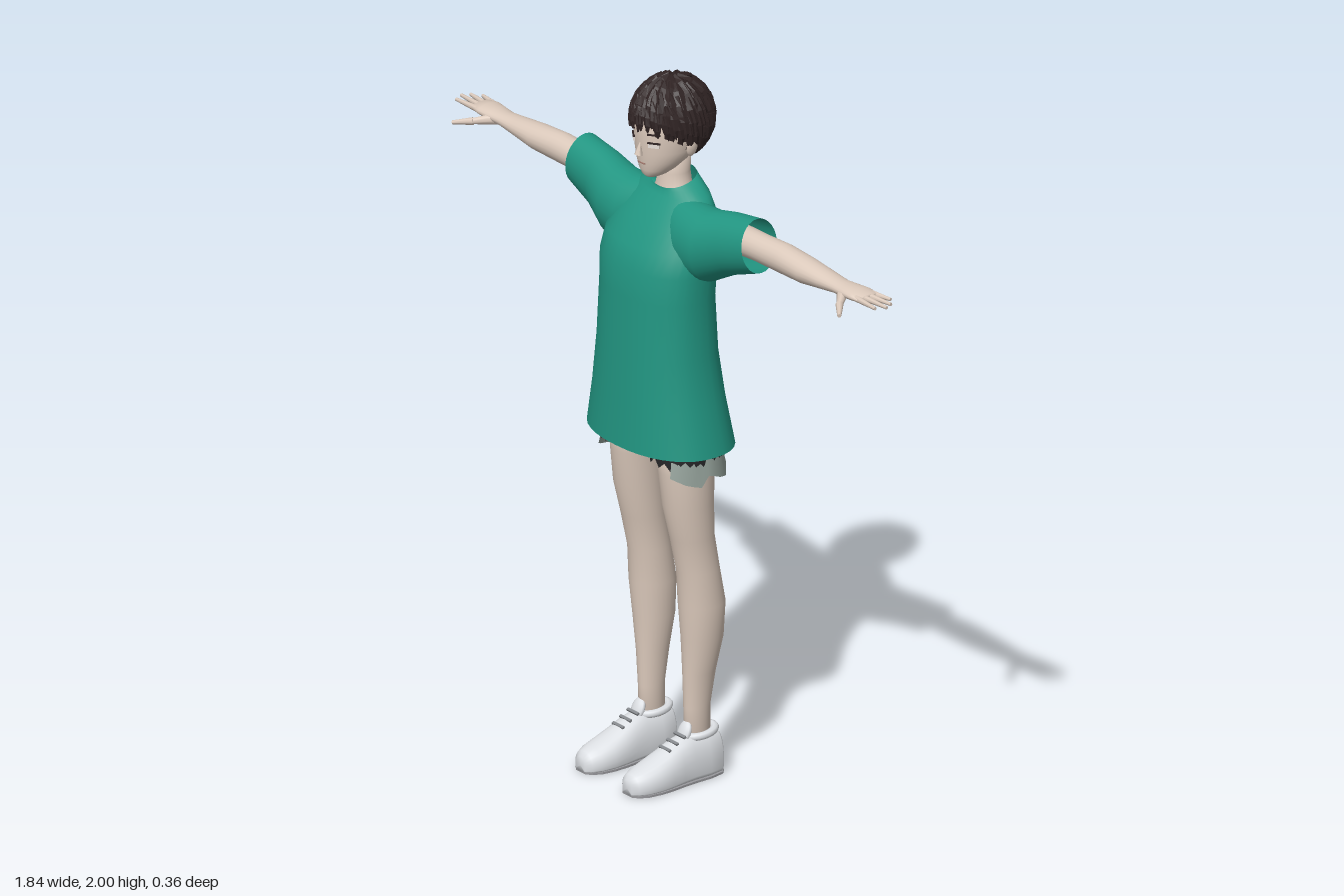
import * as THREE from 'three';
import { mergeGeometries } from 'three/addons/utils/BufferGeometryUtils.js';

const mat = (name, color, extra = {}) => Object.assign(new THREE.MeshStandardMaterial({ color, ...extra }), { name });
const V = (x, y, z) => new THREE.Vector3(x, y, z);
const TAU = Math.PI * 2;

// Skin a list of point rings; optional flat ends, or open strips when closed is false
function loft(rings, { caps = true, closed = true } = {}) {
  const n = rings[0].length, pts = rings.flat(), index = [];
  const cols = closed ? n : n - 1;
  for (let i = 0; i < rings.length - 1; i++) for (let j = 0; j < cols; j++) {
    const k = (j + 1) % n, a = i * n + j, b = i * n + k;
    index.push(a, a + n, b, b, a + n, b + n);
  }
  if (caps) [0, rings.length - 1].forEach((r) => {
    const c = rings[r].reduce((s, p) => s.add(p), V(0, 0, 0)).divideScalar(n);
    const id = pts.push(c) - 1;
    for (let j = 0; j < n; j++) {
      const a = r * n + j, b = r * n + (j + 1) % n;
      r ? index.push(id, b, a) : index.push(id, a, b);
    }
  });
  const g = new THREE.BufferGeometry().setFromPoints(pts);
  g.setIndex(index);
  g.computeVertexNormals();
  return g;
}

const ring = (n, f) => Array.from({ length: n }, (_, j) => f(j / n * TAU, j));
// Rounded ring around y: exponent below 1 makes it boxier
const pw = (v, e) => Math.sign(v) * Math.abs(v) ** e;
const ringY = (y, cx, cz, rx, rz, n = 28, e = 1, tilt = 0) =>
  ring(n, (a) => V(cx + rx * pw(Math.cos(a), e), y - tilt * Math.sin(a), cz + rz * pw(Math.sin(a), e)));
// Rings given by front and back depth
const bodyRing = ([y, rx, zf, zb, tilt = 0], e = 1) => ringY(y, 0, (zf + zb) / 2, rx, (zf - zb) / 2, 36, e, tilt);
const ringX = ([x, cy, cz, ry, rz], n = 20, slant = 0) =>
  ring(n, (a) => V(x - slant * Math.cos(a), cy + ry * Math.cos(a), cz - rz * Math.sin(a)));

function mirrored(g) {
  const m = g.clone().scale(-1, 1, 1);
  const idx = m.index ? Array.from(m.index.array) : Array.from({ length: m.attributes.position.count }, (_, i) => i);
  for (let i = 0; i < idx.length; i += 3) [idx[i], idx[i + 1]] = [idx[i + 1], idx[i]];
  m.setIndex(idx);
  return m;
}

export function createModel() {
  const root = new THREE.Group();
  root.name = 'standingFigure';
  const both = { side: THREE.DoubleSide };
  const skin = mat('skin', 0xdccabc), teal = mat('tealCloth', 0x229682, both), black = mat('blackCloth', 0x242426, both);
  const grey = mat('greyLining', 0x929f98, both), hairMat = mat('darkHair', 0x302424, { ...both, flatShading: true });
  const white = mat('shoeWhite', 0xdcdfe3), soleMat = mat('soleGrey', 0x98989c), lace = mat('laceGrey', 0x85888c);
  const eyeMat = mat('eyePale', 0xece4de), lip = mat('lipBrown', 0xa67c70);
  const add = (name, g, m) => {
    const mesh = new THREE.Mesh(g, m);
    mesh.name = name;
    root.add(mesh);
  };
  const pair = (name, g, m) => {
    add(name + 'Left', g, m);
    add(name + 'Right', mirrored(g), m);
  };

  // Shirt body, flaring to the hem, with a collar dipping at the front
  add('shirtBody', loft([
    [0.972, 0.235, 0.14, -0.172], [1.1, 0.208, 0.134, -0.152], [1.24, 0.188, 0.128, -0.135], [1.4, 0.182, 0.12, -0.126],
    [1.48, 0.188, 0.114, -0.13], [1.54, 0.186, 0.092, -0.132], [1.6, 0.172, 0.052, -0.132], [1.64, 0.152, 0.022, -0.13],
    [1.67, 0.122, 0.0, -0.126, 0.006], [1.69, 0.088, -0.008, -0.118, 0.012], [1.702, 0.066, -0.008, -0.113, 0.018],
  ].map((r) => bodyRing(r, 0.88)), { caps: false }), teal);

  // Wide sleeves, open at the end
  pair('sleeve', loft([
    [0.05, 1.57, -0.045, 0.1, 0.07], [0.13, 1.56, -0.036, 0.108, 0.084], [0.2, 1.57, -0.036, 0.101, 0.082],
    [0.28, 1.6, -0.045, 0.087, 0.068], [0.38, 1.625, -0.05, 0.075, 0.06],
  ].map((r, i) => ringX(r, 28, i * 0.0025)), { caps: false }), teal);

  // Arms and palms
  pair('arm', loft([
    [0.18, 1.615, -0.052, 0.045, 0.045], [0.38, 1.62, -0.055, 0.04, 0.039], [0.48, 1.62, -0.059, 0.041, 0.041],
    [0.58, 1.618, -0.059, 0.036, 0.042], [0.66, 1.619, -0.06, 0.026, 0.036], [0.72, 1.62, -0.06, 0.019, 0.031],
    [0.76, 1.622, -0.06, 0.018, 0.036], [0.8, 1.624, -0.062, 0.016, 0.04], [0.835, 1.624, -0.064, 0.01, 0.037],
  ].map((r) => ringX(r))), skin);

  // Fingers and thumb as tapered rods from base to tip
  const digit = (from, to, r) => {
    const d = to.clone().sub(from);
    const g = new THREE.CylinderGeometry(r * 0.5, r, d.length(), 8);
    g.applyQuaternion(new THREE.Quaternion().setFromUnitVectors(V(0, 1, 0), d.clone().normalize()));
    return g.translate(...from.clone().add(to).multiplyScalar(0.5).toArray());
  };
  const tips = [[0.88, -0.103], [0.907, -0.083], [0.918, -0.06], [0.904, -0.032]];
  pair('fingers', mergeGeometries([
    ...tips.map(([x, z], i) => digit(V(0.815, 1.624, -0.09 + i * 0.018), V(x, 1.624, z), 0.0095)),
    digit(V(0.745, 1.617, -0.048), V(0.795, 1.606, 0.004), 0.017),
    digit(V(0.79, 1.607, 0.0), V(0.835, 1.598, 0.036), 0.011),
  ]), skin);

  // Legs with knee and calf curve
  pair('leg', loft([
    [0.1, 0.098, -0.062, 0.03, 0.038], [0.2, 0.098, -0.06, 0.029, 0.04], [0.3, 0.1, -0.066, 0.038, 0.049],
    [0.4, 0.104, -0.073, 0.052, 0.061], [0.5, 0.106, -0.07, 0.059, 0.067], [0.6, 0.105, -0.058, 0.055, 0.061],
    [0.7, 0.105, -0.038, 0.057, 0.063], [0.8, 0.105, -0.024, 0.065, 0.073], [0.9, 0.103, -0.02, 0.07, 0.08],
    [1.0, 0.095, -0.018, 0.08, 0.088],
  ].map((r) => ringY(...r))), skin);

  // Shorts: hips, ragged legs, and torn lining on the outer side
  add('shortsHips', loft([[0.975, 0.19, 0.085, -0.125], [1.08, 0.175, 0.085, -0.12], [1.15, 0.16, 0.08, -0.11]]
    .map((r) => bodyRing(r))), black);
  const rag = (j) => [0, 0.022, 0.006, 0.03, 0.012][j % 5];
  pair('shortsLeg', loft([
    ring(30, (a, j) => V(0.105 + 0.088 * Math.cos(a), 0.922 + rag(j), -0.02 + 0.102 * Math.sin(a))),
    ringY(1.0, 0.1, -0.02, 0.086, 0.102, 30),
  ], { caps: false }), black);
  const arc = (f) => Array.from({ length: 15 }, (_, j) => f(-1.9 + j * 0.21, j));
  pair('tornLining', loft([
    arc((a, j) => V(0.107 + 0.094 * Math.cos(a), 0.877 + rag(j * 2), -0.02 + 0.11 * Math.sin(a))),
    arc((a) => V(0.105 + 0.084 * Math.cos(a), 0.96, -0.02 + 0.098 * Math.sin(a))),
  ], { caps: false, closed: false }), grey);

  // Shoes: rounded uppers on a flat base
  const shoe = [[-0.128, 0.028, 0.105], [-0.115, 0.042, 0.122], [-0.07, 0.05, 0.124], [-0.02, 0.05, 0.128], [0.02, 0.052, 0.115],
    [0.06, 0.056, 0.095], [0.1, 0.057, 0.078], [0.14, 0.051, 0.064], [0.165, 0.038, 0.054], [0.178, 0.02, 0.042]];
  pair('shoe', loft(shoe.map(([z, w, h]) => ring(24, (a) => {
    const s = -Math.sin(a), up = s > 0;
    return V(0.101 + w * pw(Math.cos(a), up ? 0.85 : 0.4), 0.003 + h * (0.3 + (up ? 0.7 * s : 0.3 * pw(s, 0.4))), z);
  }))), white);
  const outline = [...shoe.map(([z, w]) => [0.101 + w * 0.97, -z]), ...shoe.map(([z, w]) => [0.101 - w * 0.97, -z]).reverse()];
  const sole = new THREE.ExtrudeGeometry(new THREE.Shape(outline.map((p) => new THREE.Vector2(...p))), { depth: 0.006, bevelEnabled: false });
  pair('sole', sole.rotateX(-Math.PI / 2), soleMat);
  pair('shoeCollar', new THREE.TorusGeometry(0.036, 0.011, 8, 24).scale(1, 1.25, 1).rotateX(Math.PI / 2 + 0.12).translate(0.099, 0.125, -0.066), white);
  pair('shoeTongue', new THREE.SphereGeometry(1, 14, 10).scale(0.024, 0.034, 0.012).rotateX(-0.4).translate(0.1, 0.132, -0.016), white);
  pair('laces', mergeGeometries([0, 1, 2].map((i) =>
    new THREE.BoxGeometry(0.046, 0.006, 0.008).rotateX(0.45).translate(0.101, 0.128 - i * 0.013, 0.0 + i * 0.025))), lace);

  // Neck and head
  add('neck', loft([ringY(1.64, 0, -0.06, 0.075, 0.055), ringY(1.68, 0, -0.06, 0.053, 0.046), ringY(1.72, 0, -0.06, 0.045, 0.043),
    ringY(1.79, 0, -0.065, 0.045, 0.043)]), skin);
  add('head', loft([[1.722, 0.018, 0.034, -0.01], [1.73, 0.032, 0.042, -0.035], [1.745, 0.048, 0.047, -0.06], [1.77, 0.066, 0.051, -0.095],
    [1.8, 0.079, 0.054, -0.125], [1.85, 0.086, 0.057, -0.145], [1.9, 0.087, 0.056, -0.15], [1.95, 0.072, 0.034, -0.13],
    [1.98, 0.035, -0.01, -0.09]].map((r) => bodyRing(r))), skin);
  add('nose', new THREE.ConeGeometry(0.012, 0.045, 6).rotateX(-0.2).translate(0, 1.813, 0.056), skin);
  pair('ear', new THREE.SphereGeometry(1, 12, 10).scale(0.01, 0.028, 0.017).rotateZ(-0.2).translate(0.09, 1.815, -0.05), skin);

  // Face details as thin plates
  const plate = (w, h, x, y, z, turn) => new THREE.BoxGeometry(w, h, 0.006).rotateY(turn).translate(x, y, z);
  pair('eye', plate(0.03, 0.011, 0.043, 1.825, 0.042, 0.6), eyeMat);
  pair('eyelash', plate(0.036, 0.004, 0.044, 1.833, 0.043, 0.6), hairMat);
  pair('eyebrow', plate(0.036, 0.004, 0.044, 1.857, 0.043, 0.6), hairMat);
  add('mouth', plate(0.028, 0.003, 0, 1.766, 0.0495, 0), lip);

  // Hair: a cap on an ellipsoid, lower at the back, covered in pointed locks
  const hairPoint = (a, th, k) => V(0.108 * k * Math.sin(th) * Math.sin(a), 1.874 + 0.122 * k * Math.cos(th), -0.054 + 0.12 * k * Math.sin(th) * Math.cos(a));
  const edge = (a) => 1.5 + 1.08 * (1 - Math.cos(a)) / 2;
  add('hairCap', loft([1, 0.85, 0.68, 0.5, 0.32, 0.12].map((t) => ring(48, (a, j) =>
    hairPoint(Math.PI / 2 - a, t * edge(Math.PI / 2 - a) - (t === 1 && j % 2 ? 0.16 : 0), 0.95))).concat([ringY(1.99, 0, -0.054, 0.002, 0.002, 48)])), hairMat);
  let seed = 7;
  const rand = () => (seed = (seed * 16807) % 2147483647) / 2147483647;
  const lock = (a, th0, th1, w) => loft([0, 0.35, 0.7, 1].map((t) => {
    const th = th0 + (th1 - th0) * t, half = w * [0.5, 1, 0.8, 0.04][Math.round(t * 3)];
    const c = hairPoint(a + 0.12 * t, th, 0.97), side = V(Math.cos(a), 0, -Math.sin(a)).multiplyScalar(half);
    const out = hairPoint(a + 0.12 * t, th, 1.03 - 0.01 * t);
    return [c.clone().add(side), out, c.clone().sub(side), hairPoint(a, th, 0.93)];
  }));
  const locks = [];
  for (const [t0, t1, n] of [[0.05, 0.4, 9], [0.22, 0.6, 18], [0.42, 0.8, 24], [0.6, 0.96, 28], [0.74, 1.08, 30]])
    for (let i = 0; i < n; i++) {
      const a = (i + rand() * 0.6) / n * TAU, e = edge(a);
      locks.push(lock(a, t0 * e, (t1 + rand() * 0.07) * e, 0.011 + rand() * 0.006));
    }
  add('hairLocks', mergeGeometries(locks), hairMat);
  return root;
}
